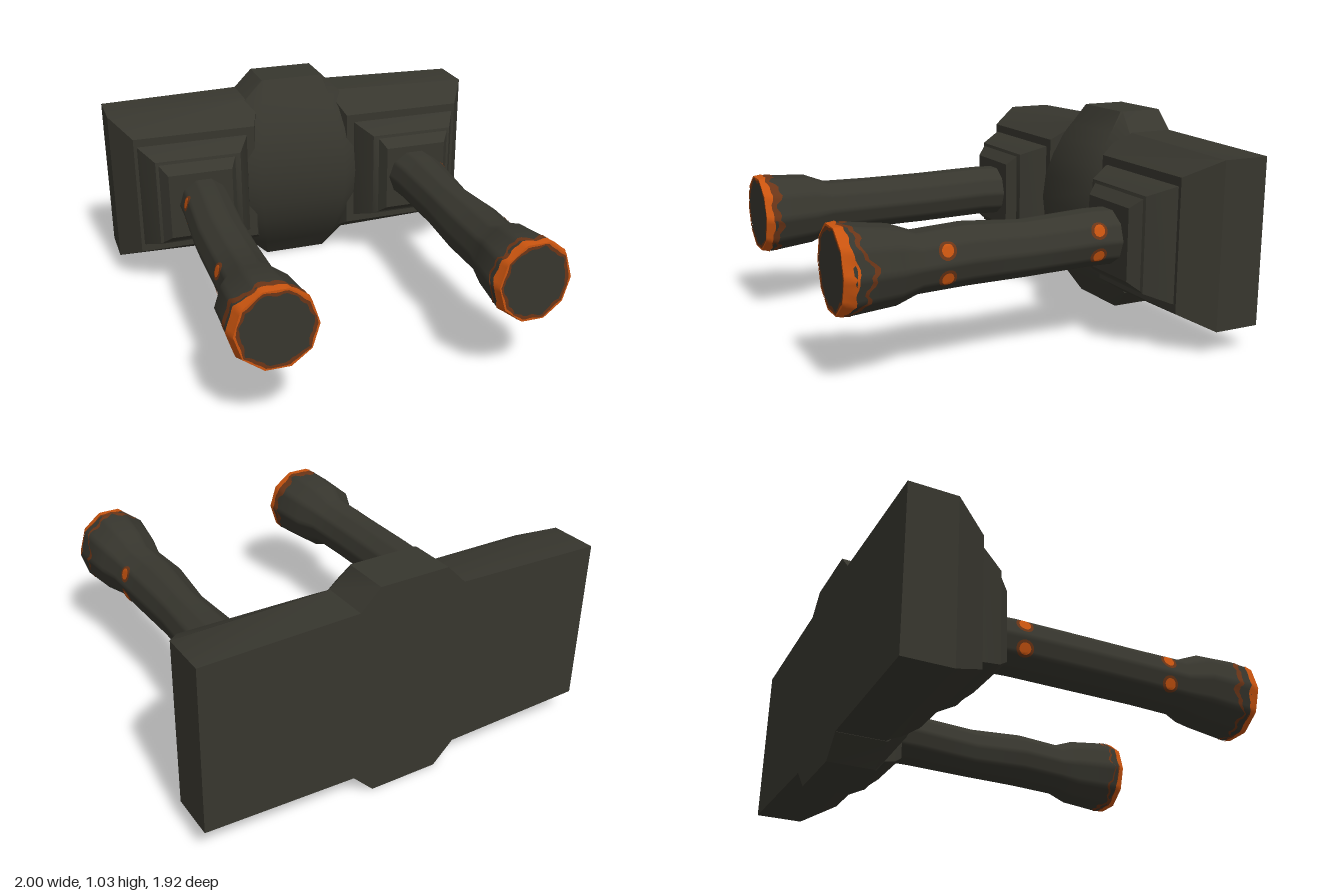
import * as THREE from 'three';
import { toCreasedNormals } from 'three/addons/utils/BufferGeometryUtils.js';

const SIDES = 10, SEG = 60;

// Skin a list of closed rings (counter-clockwise seen from +z, advancing along +z).
function loft(rings, capped = true, crease = 0.5) {
  const n = rings[0].length, pos = rings.flat(2), index = [];
  rings.slice(1).forEach((_, i) => {
    for (let j = 0; j < n; j++) {
      const a = i * n + j, b = i * n + (j + 1) % n;
      index.push(a, b, b + n, a, b + n, a + n);
    }
  });
  if (capped) {
    for (const [k, flip] of [[0, true], [rings.length - 1, false]]) {
      const c = pos.length / 3;
      for (let d = 0; d < 3; d++) pos.push(rings[k].reduce((s, p) => s + p[d], 0) / n);
      for (let j = 0; j < n; j++) {
        const a = k * n + j, b = k * n + (j + 1) % n;
        index.push(c, flip ? b : a, flip ? a : b);
      }
    }
  }
  const g = new THREE.BufferGeometry();
  g.setAttribute('position', new THREE.Float32BufferAttribute(pos, 3));
  g.setIndex(index);
  return toCreasedNormals(g, crease);
}

// Rectangular ring; the outer edge may be shorter by taper.
function rect(side, z, xi, xo, y0, y1, taper = 0) {
  const inner = [[side * xi, y0, z], [side * xi, y1, z]];
  const outer = [[side * xo, y0 + taper, z], [side * xo, y1 - taper, z]];
  const [l, r] = side > 0 ? [inner, outer] : [outer, inner];
  return [l[0], r[0], r[1], l[1]];
}

// Arm sections: z, x min, x max, y min, y max
const ARMS = {
  1: [[-0.45, 0.44, 0.73, 0.385, 0.655], [-0.28, 0.45, 0.73, 0.39, 0.66], [0.06, 0.465, 0.705, 0.38, 0.645],
    [0.35, 0.44, 0.725, 0.38, 0.665], [0.59, 0.45, 0.73, 0.375, 0.655], [0.69, 0.43, 0.757, 0.34, 0.695],
    [0.91, 0.40, 0.79, 0.325, 0.725], [0.955, 0.425, 0.765, 0.335, 0.72]],
  '-1': [[-0.45, -0.71, -0.45, 0.385, 0.65], [-0.28, -0.715, -0.455, 0.39, 0.655], [0.06, -0.735, -0.47, 0.38, 0.645],
    [0.35, -0.735, -0.47, 0.38, 0.645], [0.59, -0.735, -0.465, 0.375, 0.65], [0.69, -0.785, -0.425, 0.335, 0.69],
    [0.91, -0.785, -0.40, 0.315, 0.71], [0.955, -0.765, -0.405, 0.33, 0.705]],
};

// Point on an arm's faceted skin at angle a and depth z, lifted by off.
function armPoint(side, a, z, off = 0, scale = 1) {
  const s = ARMS[side];
  let i = 0;
  while (i < s.length - 2 && z > s[i + 1][0]) i++;
  const t = (z - s[i][0]) / (s[i + 1][0] - s[i][0]);
  const [x0, x1, y0, y1] = [1, 2, 3, 4].map(k => s[i][k] + t * (s[i + 1][k] - s[i][k]));
  const step = 2 * Math.PI / SIDES, m = ((a % step) + step) % step;
  const f = Math.cos(step / 2) / Math.cos(m - step / 2);
  return [
    (x0 + x1) / 2 + Math.cos(a) * ((x1 - x0) / 2 * f + off) * scale,
    (y0 + y1) / 2 + Math.sin(a) * ((y1 - y0) / 2 * f + off) * scale, z];
}
const around = fn => Array.from({ length: SEG }, (_, j) => fn(j / SEG * 2 * Math.PI));

// Worn band wrapping the rim of an arm with ragged edges on the side and on the end face.
function rimWear(side, off, depth, lip) {
  const jag = a => Math.abs(Math.sin(a * 3.5 + side)) * 0.6 + Math.abs(Math.sin(a * 8)) * 0.4;
  const outer = a => Math.max(0, side * Math.cos(a)) ** 4;
  return loft([
    around(a => armPoint(side, a, 0.945 - depth * (0.4 + jag(a) + 1.1 * outer(a)), off)),
    around(a => armPoint(side, a, 0.945 - depth * 0.2, off)),
    around(a => { const p = armPoint(side, a, 0.955, off); p[2] += off; return p; }),
    around(a => { const p = armPoint(side, a, 0.955, off, 1 - lip * (0.4 + jag(a + 1))); p[2] += off; return p; }),
  ], false, 0.9);
}

// Round worn patch bent onto the arm.
function spot(side, a0, z0, r, off) {
  const g = new THREE.RingGeometry(0.0001, r, 16, 4), p = g.attributes.position;
  for (let i = 0; i < p.count; i++)
    p.setXYZ(i, ...armPoint(side, a0 + p.getX(i) / 0.135, z0 + p.getY(i), off));
  g.computeVertexNormals();
  return g;
}

export function createModel() {
  const mat = (name, color) => Object.assign(new THREE.MeshStandardMaterial({ color }), { name });
  const dark = mat('dark iron', 0x37362e);
  const rust = mat('brown rust', 0x6b3517);
  const orange = mat('orange rust', 0xc9540f);
  const model = new THREE.Group();
  model.name = 'twinArmBracket';
  const add = (parent, name, geo, material) => {
    const mesh = new THREE.Mesh(geo, material);
    mesh.name = name;
    parent.add(mesh);
  };

  // Central bulging band, built upward: height, half width, front half width, shoulder z, front z
  const half = [[0, 0.17, 0.165, -0.74, -0.73], [0.1, 0.27, 0.19, -0.72, -0.66], [0.17, 0.28, 0.2, -0.66, -0.61],
    [0.27, 0.292, 0.22, -0.61, -0.565], [0.38, 0.302, 0.235, -0.57, -0.535]];
  const rows = [...half, [0.515, 0.306, 0.24, -0.555, -0.525],
    ...half.slice().reverse().map(([y, ...r]) => [1.03 - y, ...r])];
  const band = loft(rows.map(([y, w, wi, zs, zf]) =>
    [[-wi, -zf, y], [wi, -zf, y], [w, -zs, y], [w, 0.96, y], [-w, 0.96, y], [-w, -zs, y]]), true, 0.6);
  add(model, 'centreBand', band.rotateX(-Math.PI / 2), dark);

  for (const side of [1, -1]) {
    const label = side > 0 ? 'left' : 'right';

    // Bevelled wing of the back plate
    add(model, label + 'Wing', loft([
      rect(side, -0.96, 0.2, 1, 0.1, 0.937, 0.02),
      rect(side, -0.73, 0.2, 1, 0.1, 0.937, 0.02),
      rect(side, -0.57, 0.26, 0.9, 0.2, 0.835),
    ]), dark);

    // Stepped socket
    add(model, label + 'Socket', loft([
      rect(side, -0.58, 0.3, 0.885, 0.24, 0.795),
      rect(side, -0.56, 0.305, 0.88, 0.245, 0.79),
      rect(side, -0.445, 0.37, 0.815, 0.29, 0.745),
      rect(side, -0.44, 0.4, 0.8, 0.3, 0.73),
      rect(side, -0.39, 0.43, 0.762, 0.34, 0.685),
    ]), dark);

    // Arm with flared end
    const arm = new THREE.Group();
    arm.name = label + 'Arm';
    model.add(arm);
    add(arm, 'armShaft', loft(ARMS[side].map(s => around(a => armPoint(side, a, s[0]))), true, 0.9), dark);

    // Rust on the rim and in pairs of spots on the outer side
    add(arm, 'rimRust', rimWear(side, 0.003, 0.06, 0.11), rust);
    add(arm, 'rimBrightRust', rimWear(side, 0.005, 0.022, 0.045), orange);
    for (const z of [0.48, -0.27]) for (const tilt of [0.46, -0.46]) {
      const a = side > 0 ? tilt : Math.PI - tilt;
      add(arm, 'rustSpot', spot(side, a, z, 0.042, 0.003), rust);
      add(arm, 'brightRustSpot', spot(side, a, z, 0.028, 0.005), orange);
    }
  }
  return model;
}
